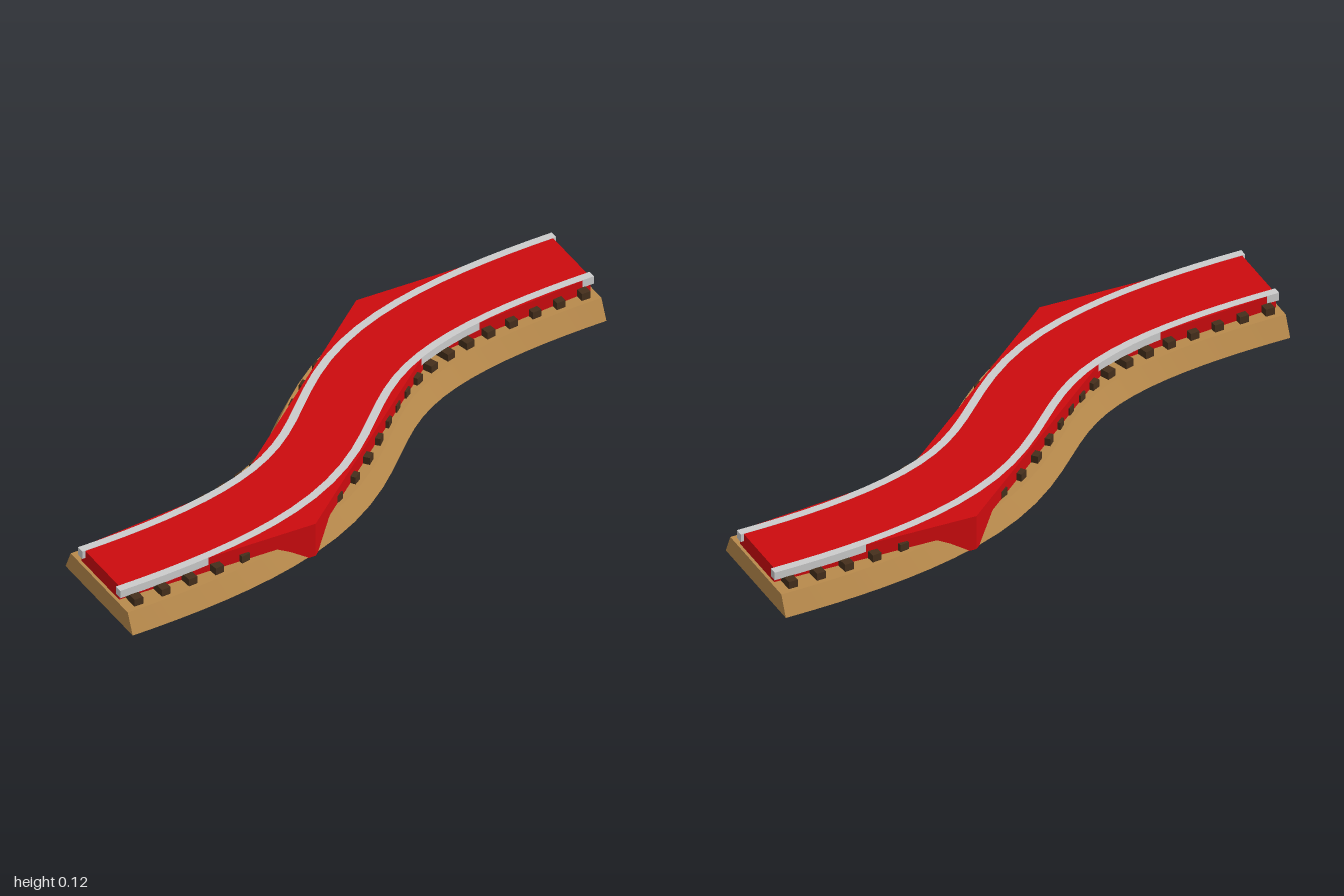
import * as THREE from 'three';
import { toCreasedNormals } from 'three/addons/utils/BufferGeometryUtils.js';

const material = (color) => new THREE.MeshStandardMaterial({ color });

// S-shaped centre line, drawn flat on the ground
const path = new THREE.CubicBezierCurve3(
  new THREE.Vector3(-1, 0, 0.33), new THREE.Vector3(0.32, 0, 0.33),
  new THREE.Vector3(-0.32, 0, -0.33), new THREE.Vector3(1, 0, -0.33)
);

// Sweeps a four-cornered section [sideways, up] along the path and caps both ends
function sweep(section, steps = 28) {
  const positions = [], index = [], n = section.length;
  for (let i = 0; i <= steps; i++) {
    const p = path.getPointAt(i / steps), t = path.getTangentAt(i / steps);
    for (const [side, up] of section) positions.push(p.x - t.z * side, up, p.z + t.x * side);
  }
  for (let i = 0; i < steps; i++) {
    for (let j = 0; j < n; j++) {
      const a = i * n + j, b = i * n + (j + 1) % n;
      index.push(a, a + n, b, b, a + n, b + n);
    }
  }
  const e = steps * n;
  index.push(0, 1, 2, 0, 2, 3, e, e + 2, e + 1, e, e + 3, e + 2);
  const geometry = new THREE.BufferGeometry();
  geometry.setAttribute('position', new THREE.Float32BufferAttribute(positions, 3));
  geometry.setIndex(index);
  return toCreasedNormals(geometry, 0.5);
}

export function createModel() {
  const model = new THREE.Group();
  const add = (name, geometry, mat, parent = model) => {
    const mesh = new THREE.Mesh(geometry, mat);
    mesh.name = name;
    parent.add(mesh);
    return mesh;
  };

  // Sloped gravel bed
  add('ballast', sweep([[0.2, 0.002], [0.17, 0.068], [-0.17, 0.068], [-0.2, 0.002]]),
    material(0xb88a4c));

  // Cross ties
  const ties = new THREE.Group();
  ties.name = 'ties';
  model.add(ties);
  const tieGeometry = new THREE.BoxGeometry(0.03, 0.03, 0.31), tieMaterial = material(0x452f1c);
  const count = Math.round(path.getLength() / 0.09);
  for (let i = 0; i < count; i++) {
    const u = (i + 0.5) / count, t = path.getTangentAt(u);
    const tie = add('tie', tieGeometry, tieMaterial, ties);
    tie.position.copy(path.getPointAt(u)).setY(0.078);
    tie.rotation.y = Math.atan2(-t.z, t.x);
  }

  // Pair of rails
  const railMaterial = material(0xcccccc);
  for (const [name, s] of [['frontRail', 0.113], ['backRail', -0.113]]) {
    add(name, sweep([[s - 0.013, 0.092], [s + 0.013, 0.092], [s + 0.013, 0.119], [s - 0.013, 0.119]]),
      railMaterial);
  }

  // Angular slab filling the track; the second half is the first turned by 180 degrees
  const half = [[-0.99, 0.206], [-0.99, 0.432], [-0.33, 0.453], [0.42, -0.16]];
  const outline = [...half, ...half.map(([x, z]) => [-x, -z])];
  const slab = new THREE.ExtrudeGeometry(
    new THREE.Shape(outline.map(([x, z]) => new THREE.Vector2(x, -z))),
    { depth: 0.118, bevelEnabled: false }
  );
  slab.rotateX(-Math.PI / 2);
  add('slab', slab, material(0xcc0a0e));

  return model;
}
